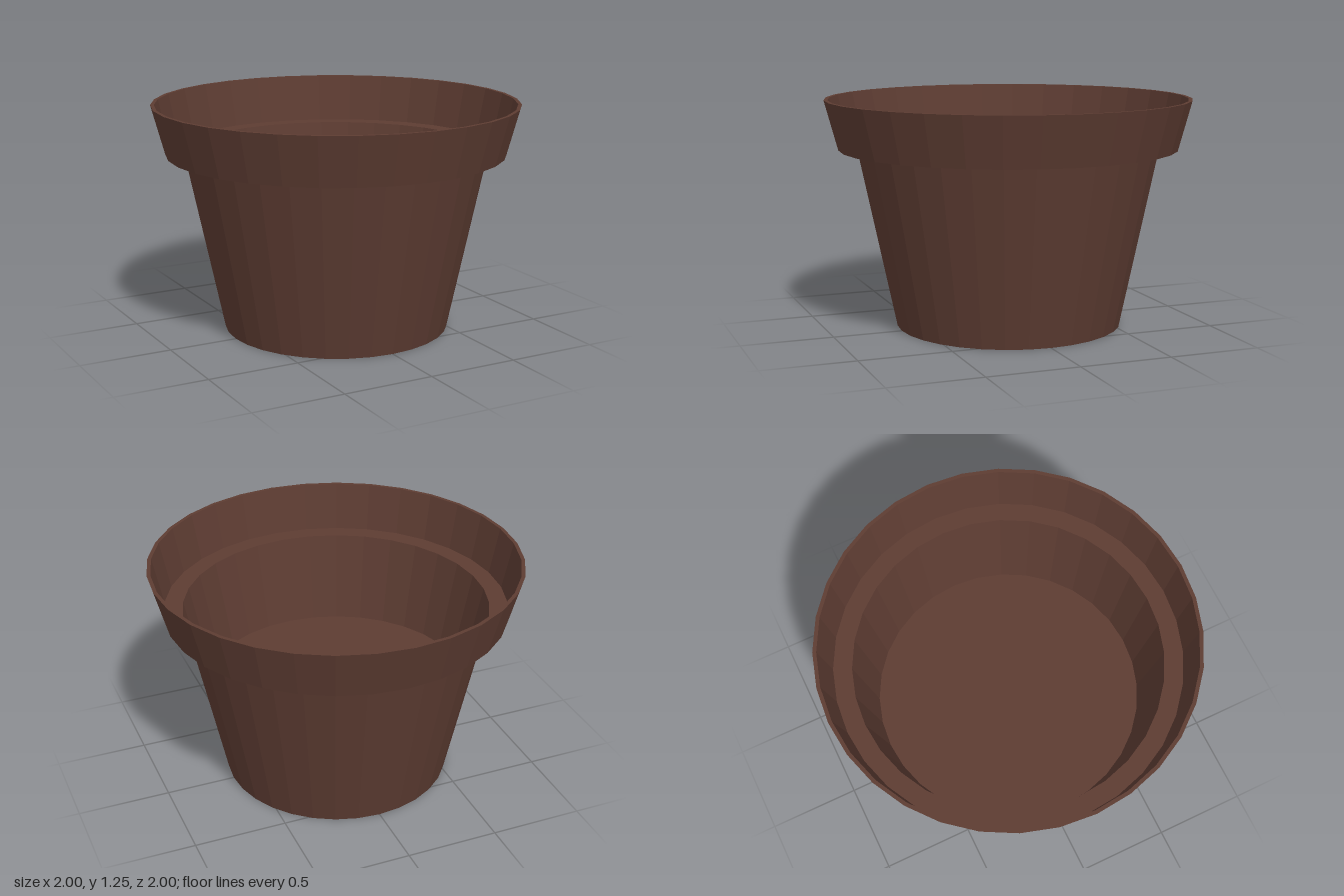
import * as THREE from 'three';

const SIDES = 32;

export function createModel() {
  const model = new THREE.Group();
  model.name = 'flowerPot';
  const clay = new THREE.MeshStandardMaterial({ color: 0x5d3c32, flatShading: true });

  const add = (name, geometry) => {
    const mesh = new THREE.Mesh(geometry, clay);
    mesh.name = name;
    model.add(mesh);
    return mesh;
  };
  // Surface of revolution from [radius, height] pairs
  const lathe = (name, profile) =>
    add(name, new THREE.LatheGeometry(profile.map(([r, y]) => new THREE.Vector2(r, y)), SIDES));
  // Horizontal disc whose corners line up with the lathed walls
  const disc = (name, radius, y, facing) => {
    const mesh = add(name, new THREE.CircleGeometry(radius, SIDES));
    mesh.rotation.x = -facing * Math.PI / 2;
    mesh.position.y = y;
  };

  // Tapered outer wall
  lathe('outerWall', [[0.62, 0], [0.825, 0.98]]);

  // Flared collar: underside, outside, thin lip, inside and inner ledge
  lathe('collar', [
    [0.825, 0.98], [0.927, 0.98], [1, 1.25],
    [0.98, 1.25], [0.925, 0.99], [0.825, 0.99],
  ]);

  // Inside wall down to the fill level
  lathe('innerWall', [[0.825, 0.99], [0.722, 0.5]]);

  // Flat fill inside and closed base underneath
  disc('innerFloor', 0.722, 0.5, 1);
  disc('base', 0.62, 0, -1);

  return model;
}
